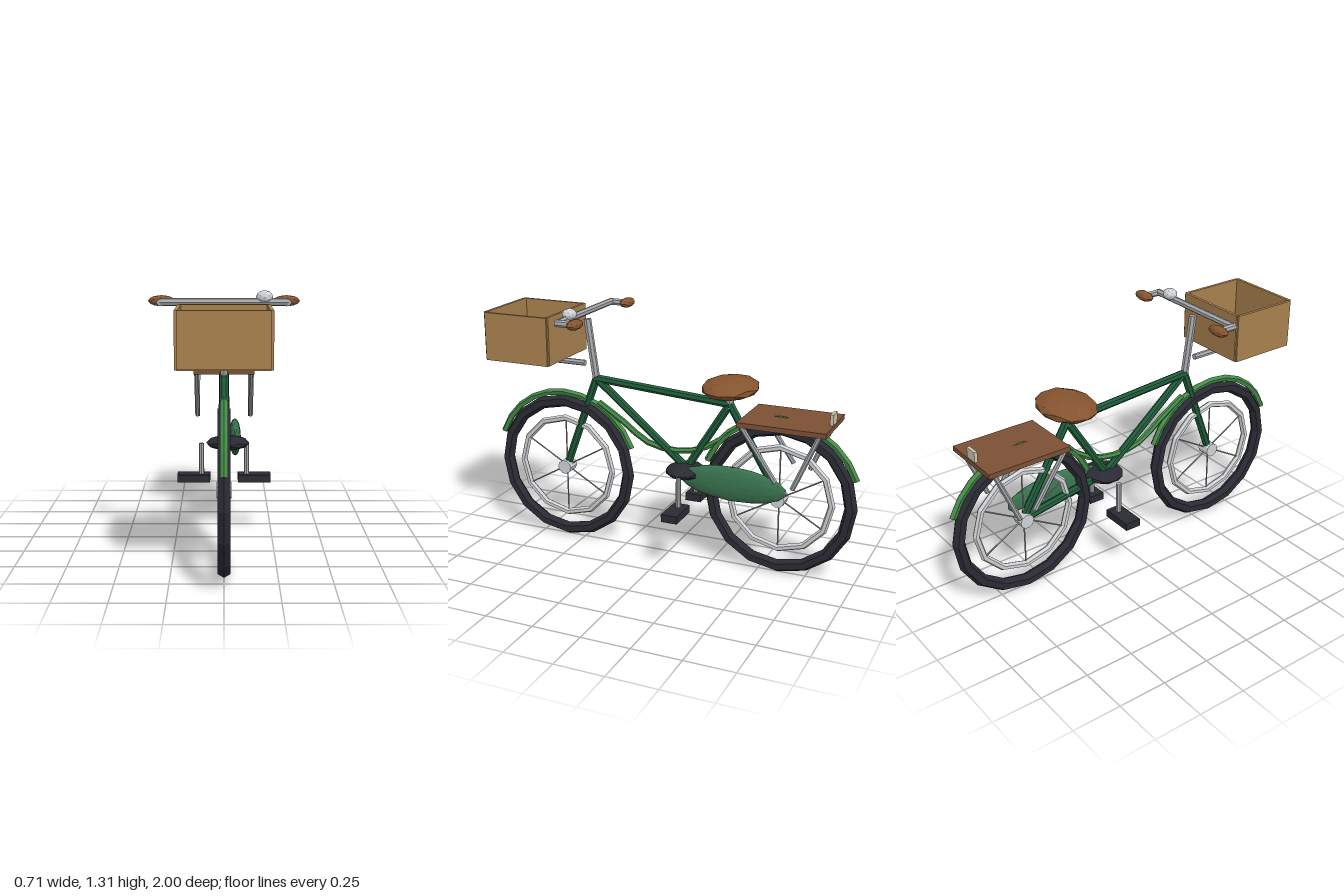
import * as THREE from 'three';

const mat = (name, color) => {
  const m = new THREE.MeshStandardMaterial({ color, flatShading: true });
  m.name = name;
  return m;
};

export function createModel() {
  const bike = new THREE.Group();
  bike.name = 'bicycle';

  const frameGreen = mat('frame green', 0x1f5c3a);
  const fenderGreen = mat('fender green', 0x458a48);
  const guardGreen = mat('guard green', 0x39734f);
  const rubber = mat('rubber', 0x2a2a34);
  const metal = mat('metal', 0xa6a8ac);
  const silver = mat('silver', 0xcfd2d5);
  const leather = mat('leather', 0x86542f);
  const wood = mat('wood', 0x7c5035);
  const wicker = mat('wicker', 0xa9814e);
  const cream = mat('cream', 0xcfc7ae);

  const V = (p) => new THREE.Vector3(...p);
  const add = (name, geo, material, pos = [0, 0, 0], parent = bike) => {
    const m = new THREE.Mesh(geo, material);
    m.name = name;
    m.position.set(...pos);
    parent.add(m);
    return m;
  };
  const box = (name, size, pos, material) =>
    add(name, new THREE.BoxGeometry(...size), material, pos);
  // straight tube between two points
  const rod = (name, a, b, r, material, parent = bike, sides = 7) => {
    const A = V(a), B = V(b), d = B.clone().sub(A);
    const m = add(name, new THREE.CylinderGeometry(r, r, d.length(), sides), material,
      A.clone().add(B).multiplyScalar(0.5).toArray(), parent);
    m.quaternion.setFromUnitVectors(new THREE.Vector3(0, 1, 0), d.normalize());
    return m;
  };
  // faceted ellipsoid
  const blob = (name, pos, radii, material, detail = 1) =>
    add(name, new THREE.IcosahedronGeometry(1, detail).scale(...radii), material, pos);

  // wheels with fenders
  for (const [label, z] of [['front', 0.6], ['rear', -0.6]]) {
    const wheel = new THREE.Group();
    wheel.name = label + 'Wheel';
    wheel.position.set(0, 0.4, z);
    bike.add(wheel);
    const ring = (name, R, r, radial, segs, material, arc = Math.PI * 2, start = 0) =>
      add(name, new THREE.TorusGeometry(R, r, radial, segs, arc).rotateZ(start).rotateY(Math.PI / 2),
        material, [0, 0, 0], wheel);
    ring('tyre', 0.366, 0.033, 6, 16, rubber);
    ring('rim', 0.27, 0.018, 6, 12, silver);
    ring('fender', 0.413, 0.018, 5, 10, fenderGreen, 2.4, (Math.PI - 2.4) / 2);
    rod('hub', [-0.035, 0, 0], [0.035, 0, 0], 0.038, silver, wheel, 10);
    for (let i = 0; i < 6; i++) {
      const a = Math.PI / 2 + i * Math.PI / 3;
      rod('spoke', [0, 0, 0], [0, Math.sin(a) * 0.27, Math.cos(a) * 0.27], 0.004, metal, wheel, 5);
    }
  }

  // frame tubes
  const head = [0, 0.91, 0.41], seat = [0, 0.86, -0.33], crank = [0, 0.49, -0.1];
  const tubes = {
    topTube: [head, seat], downTube: [head, crank], seatTube: [seat, crank],
    seatStay: [seat, [0, 0.41, -0.6]], chainStay: [crank, [0, 0.4, -0.6]],
    fork: [[0, 0.92, 0.407], [0, 0.41, 0.595]],
  };
  for (const [name, [a, b]] of Object.entries(tubes)) rod(name, a, b, 0.021, frameGreen);

  // curved lower tube
  const sweep = new THREE.CatmullRomCurve3([
    [0, 0.78, 0.4], [0, 0.7, 0.27], [0, 0.595, 0.11], [0, 0.578, -0.08], [0, 0.63, -0.23], [0, 0.72, -0.34],
  ].map(V));
  add('curvedTube', new THREE.TubeGeometry(sweep, 10, 0.016, 6), fenderGreen);

  // saddle
  rod('seatPost', [0, 0.84, -0.33], [0, 0.93, -0.33], 0.02, metal);
  blob('saddle', [0, 0.947, -0.332], [0.185, 0.05, 0.143], leather);

  // handlebar and bell
  rod('stem', [0, 0.9, 0.411], [0, 1.22, 0.457], 0.02, metal);
  rod('handlebar', [-0.295, 1.257, 0.463], [0.295, 1.257, 0.463], 0.018, metal);
  for (const s of [-1, 1]) {
    rod('barEnd', [s * 0.293, 1.255, 0.475], [s * 0.293, 1.255, 0.38], 0.018, metal);
    blob('grip', [s * 0.293, 1.257, 0.37], [0.064, 0.026, 0.033], leather);
  }
  blob('bell', [0.187, 1.28, 0.457], [0.04, 0.031, 0.038], silver);

  // open basket, its bracket and the lamp inside
  box('basketFloor', [0.4, 0.018, 0.36], [0, 1.01, 0.76], wicker);
  for (const s of [-1, 1]) {
    box('basketSide', [0.016, 0.25, 0.36], [s * 0.202, 1.128, 0.76], wicker);
    box('basketEnd', [0.4, 0.25, 0.016], [0, 1.13, 0.76 + s * 0.18], wicker);
  }
  rod('basketBracket', [0, 0.985, 0.475], [0, 0.985, 0.63], 0.016, metal);
  blob('lamp', [0, 1.07, 0.612], [0.07, 0.07, 0.017], cream);

  // rear rack with struts and reflector
  box('rack', [0.336, 0.026, 0.444], [0, 0.813, -0.646], wood);
  box('reflector', [0.07, 0.055, 0.016], [0, 0.852, -0.857], cream);
  for (const s of [-1, 1]) {
    rod('rackStrutFront', [s * 0.152, 0.81, -0.44], [s * 0.152, 0.54, -0.625], 0.013, metal);
    rod('rackStrutRear', [s * 0.152, 0.81, -0.835], [s * 0.152, 0.52, -0.71], 0.013, metal);
  }

  // drivetrain
  blob('chainring', [0.02, 0.483, -0.103], [0.113, 0.037, 0.105], rubber);
  const guard = blob('chainGuard', [0.06, 0.463, -0.372], [0.033, 0.092, 0.285], guardGreen, 2);
  guard.rotation.x = -0.02;
  for (const s of [-1, 1]) {
    rod('crankArm', [s * 0.118, 0.3, -0.103], [s * 0.118, 0.48, -0.103], 0.014, metal);
    box('pedal', [0.172, 0.04, 0.086], [s * 0.159, 0.297, -0.105], rubber);
  }

  return bike;
}
